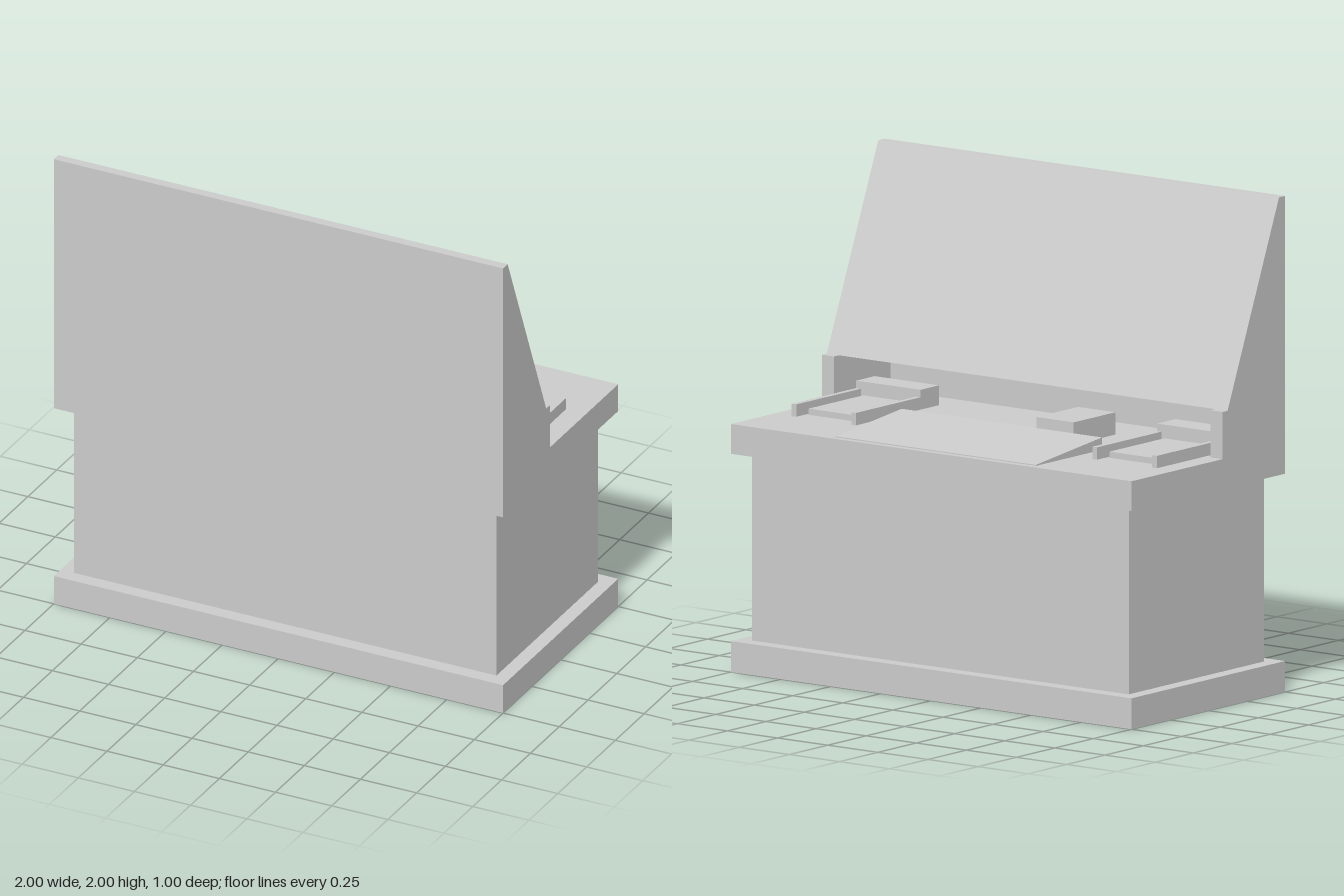
import * as THREE from 'three';

const material = new THREE.MeshStandardMaterial({ color: 0xcccccc, flatShading: true });

function add(parent, name, geometry) {
  const mesh = new THREE.Mesh(geometry, material);
  mesh.name = name;
  parent.add(mesh);
  return mesh;
}

// Box given by its extents on each axis
function box(parent, name, [x0, x1], [y0, y1], [z0, z1]) {
  const g = new THREE.BoxGeometry(x1 - x0, y1 - y0, z1 - z0);
  g.translate((x0 + x1) / 2, (y0 + y1) / 2, (z0 + z1) / 2);
  return add(parent, name, g);
}

// Side profile of [z, y] points, extruded from x0 to x1
function profile(parent, name, points, x0, x1) {
  const shape = new THREE.Shape(points.map(([z, y]) => new THREE.Vector2(z, y)));
  const g = new THREE.ExtrudeGeometry(shape, { depth: x1 - x0, bevelEnabled: false });
  g.rotateY(-Math.PI / 2);
  g.translate(x1, 0, 0);
  return add(parent, name, g);
}

export function createModel() {
  const desk = new THREE.Group();
  desk.name = 'consoleDesk';

  // Pedestal and counter
  box(desk, 'base', [-1, 1], [0, 0.125], [-0.5, 0.5]);
  box(desk, 'body', [-0.94, 0.94], [0.125, 0.88], [-0.44, 0.44]);
  box(desk, 'counter', [-1, 1], [0.88, 1], [-0.5, 0.5]);

  // Sloped screen above an open recess
  profile(desk, 'slopedScreen', [[0.125, 1.19], [0.5, 1.19], [0.5, 2], [0.46, 2]], -1, 1);
  box(desk, 'recessWall', [-0.94, 0.94], [1, 1.19], [0.46, 0.5]);

  // Side cheeks and sliding trays, mirrored
  for (const side of [-1, 1]) {
    const span = (a, b) => (side > 0 ? [a, b] : [-b, -a]);
    box(desk, 'sideCheek', span(0.94, 1), [1, 1.19], [0.093, 0.5]);

    const tray = new THREE.Group();
    tray.name = side > 0 ? 'leftTray' : 'rightTray';
    for (const x of [0.59, 0.888]) {
      box(tray, 'trayRail', span(x, x + 0.023), [1, 1.05], [-0.22, 0.22]);
    }
    box(tray, 'trayPlate', span(0.627, 0.875), [1, 1.025], [-0.157, 0.22]);
    box(tray, 'trayCrossBar', span(0.59, 0.911), [1, 1.08], [0.2, 0.32]);
    desk.add(tray);
  }

  // Fittings in the middle of the counter
  profile(desk, 'slantedPad', [[-0.47, 1], [-0.04, 1], [-0.04, 1.05], [-0.47, 1.004]], -0.5, 0.5);
  box(desk, 'controlBox', [-0.345, -0.158], [1, 1.09], [-0.022, 0.25]);
  box(desk, 'flatSheet', [-0.158, 0.235], [1, 1.008], [0.015, 0.24]);

  return desk;
}
